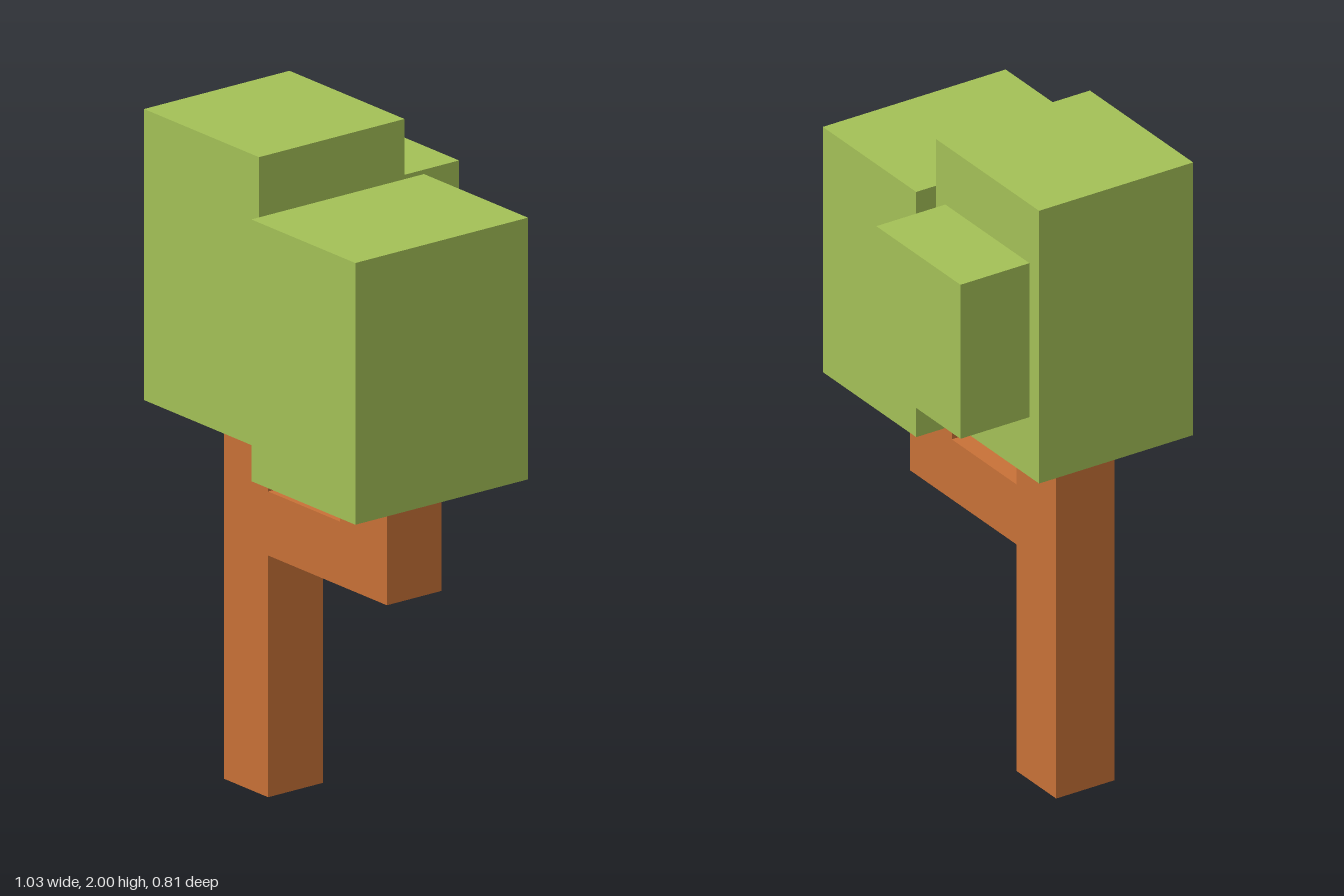
import * as THREE from 'three';

export function createModel() {
  const tree = new THREE.Group();
  tree.name = 'blockTree';

  const bark = new THREE.MeshStandardMaterial({ color: 0xc87137 });
  bark.name = 'bark';
  const leaves = new THREE.MeshStandardMaterial({ color: 0xa4c157 });
  leaves.name = 'leaves';

  // Axis-aligned block spanning the given [min, max] ranges
  function block(name, material, [x0, x1], [y0, y1], [z0, z1]) {
    const mesh = new THREE.Mesh(new THREE.BoxGeometry(x1 - x0, y1 - y0, z1 - z0), material);
    mesh.position.set((x0 + x1) / 2, (y0 + y1) / 2, (z0 + z1) / 2);
    mesh.name = name;
    tree.add(mesh);
  }

  // Trunk with an L-shaped side branch
  const woodDepth = [-0.005, 0.193];
  block('trunk', bark, [-0.355, -0.153], [0, 1.127], woodDepth);
  block('branchArm', bark, [-0.153, 0.388], [0.725, 0.917], woodDepth);
  block('branchUpright', bark, [0.175, 0.388], [0.917, 1.047], woodDepth);

  // Leaf blocks: tall one on the trunk, one on the branch, a small one behind
  block('trunkCanopy', leaves, [-0.514, 0.01], [1.127, 2], [-0.17, 0.355]);
  block('branchCanopy', leaves, [0.038, 0.512], [1.047, 1.832], [-0.218, 0.405]);
  block('backCanopy', leaves, [-0.465, -0.038], [1.318, 1.811], [-0.405, -0.17]);

  return tree;
}
